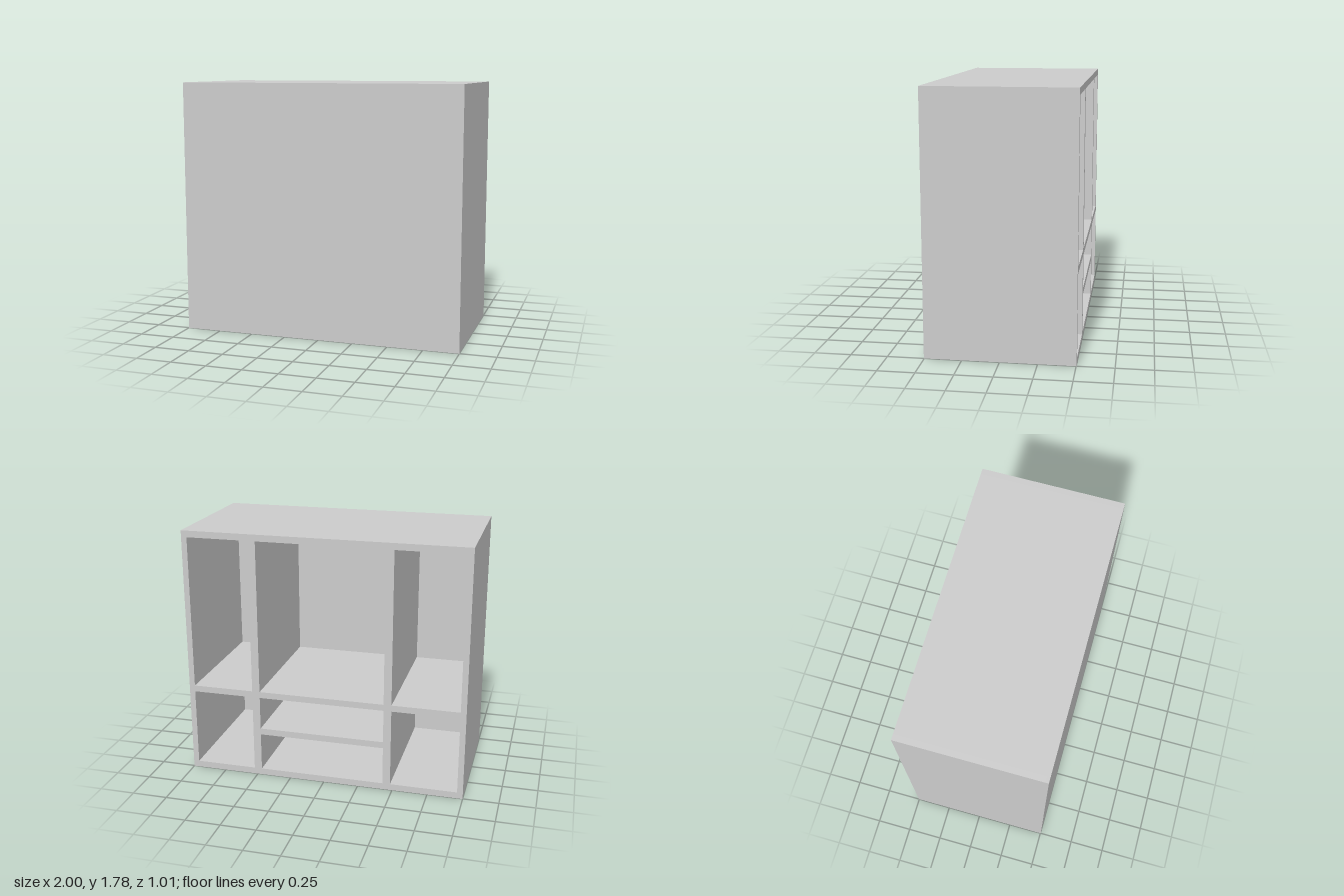
import * as THREE from 'three';

const W = 2, H = 1.785, D = 1.006; // overall size
const WALL = 0.04, BASE = 0.046, PANEL = 0.025;

export function createModel() {
  const cabinet = new THREE.Group();
  cabinet.name = 'cabinet';
  const material = new THREE.MeshStandardMaterial({ color: 0xcccccc, flatShading: true });

  // A board given by its limits along each axis
  const board = (name, x0, x1, y0, y1, z0, z1) => {
    const mesh = new THREE.Mesh(new THREE.BoxGeometry(x1 - x0, y1 - y0, z1 - z0), material);
    mesh.position.set((x0 + x1) / 2, (y0 + y1) / 2, (z0 + z1) / 2);
    mesh.name = name;
    cabinet.add(mesh);
  };

  const back = -D / 2, front = D / 2, inner = front - PANEL;
  const side = W / 2 - WALL;

  // Closed front; the compartments open to the back
  board('frontPanel', -W / 2, W / 2, 0, H, inner, front);

  // Outer shell
  board('leftSide', side, W / 2, 0, H, back, inner);
  board('rightSide', -W / 2, -side, 0, H, back, inner);
  board('top', -side, side, H - BASE, H, back, inner);
  board('bottom', -side, side, 0, BASE, back, inner);

  // Upright dividers
  const dividers = [['rightDivider', -0.485, -0.43], ['leftDivider', 0.468, 0.523]];
  for (const [name, x0, x1] of dividers) board(name, x0, x1, BASE, H - BASE, back, inner);

  // Shelves: one level across all three bays, plus a low one in the middle bay
  const bays = [['right', -side, -0.485], ['middle', -0.43, 0.468], ['left', 0.523, side]];
  for (const [name, x0, x1] of bays) board(name + 'Shelf', x0, x1, 0.604, 0.649, back, inner);
  board('lowerMiddleShelf', -0.43, 0.468, 0.32, 0.366, back, inner);

  return cabinet;
}
